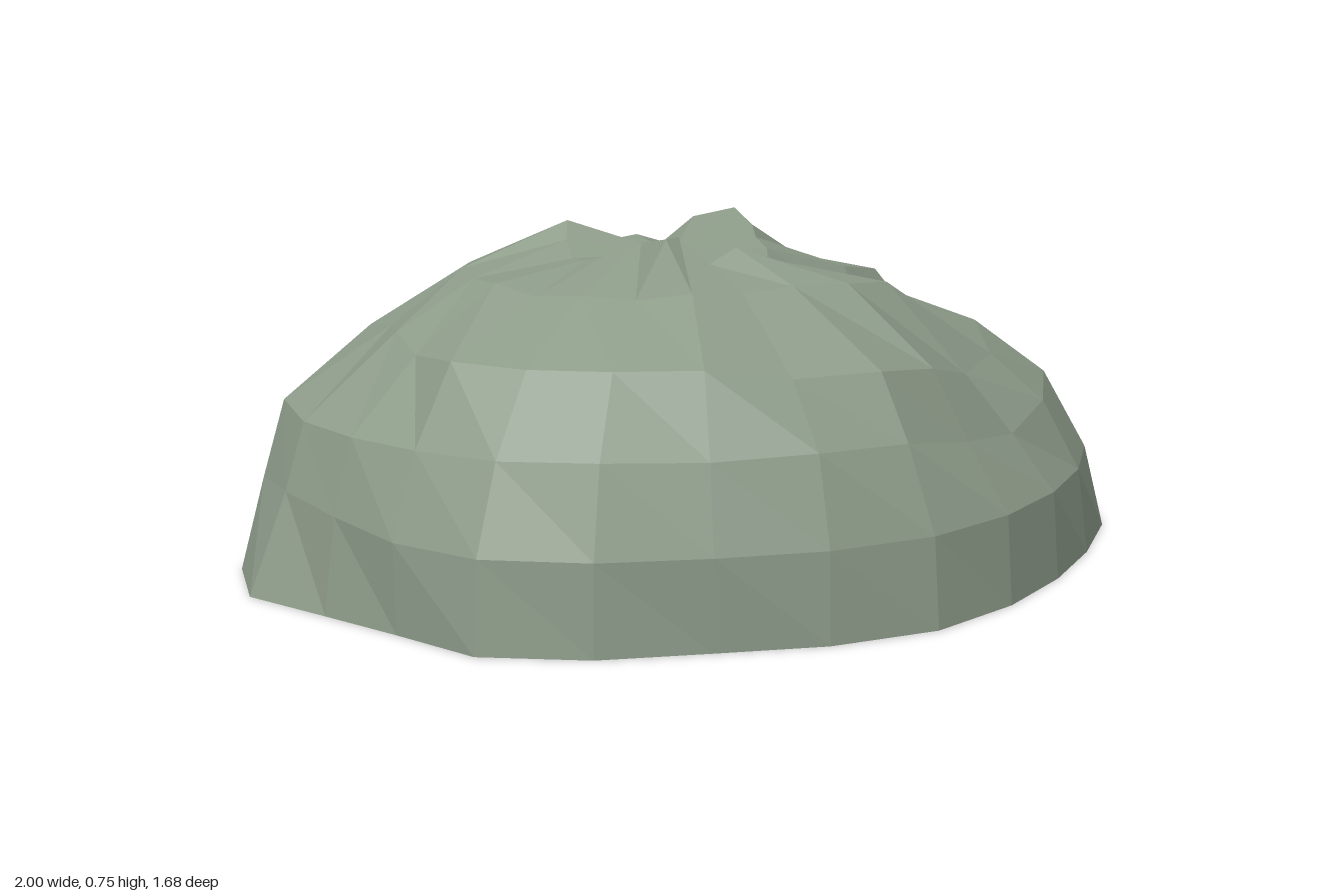
import * as THREE from 'three';

const SIDES = 24, RINGS = 6;
const SIZE = { x: 1, y: 0.75, z: 0.85 };
const CENTRE = { x: -0.02, z: 0.05 };

// Footprint radius in percent every 15 degrees, from the front (+z) towards +x
const FOOTPRINT = [
  93, 96, 95, 95, 98, 105, 97, 105.5, 105, 104, 103, 101,
  100, 108, 104, 99, 94, 98, 98, 90, 89, 95, 93, 90,
];

// Dents and bumps, each fading over two sides: side, ring, radius change, height change
const CHIPS = [
  [18, 1, -0.06, 0.15], [17.5, 3, -0.14, 0.03], [15, 3, 0.05, -0.1], // left shoulder
  [3, 2, -0.02, -0.15], [3.5, 3, 0.04, -0.2], [3, 4, 0.14, 0], // front right notch
  [1, 3, 0.06, -0.05], [0, 4, -0.05, 0], // front
  [5, 4, -0.14, -0.15], [7, 3, 0, -0.22], [6.5, 4, 0.12, -0.1], // right side hollows
  [8, 3, 0.16, 0.12], [9, 3, -0.03, 0.05], // back right shoulder
  [12.5, 2, 0.09, 0], [12, 3, 0.07, 0], [11, 4, 0, -0.1], // back
  [4, 5, -0.15, -0.07], [9, 5, 0.45, 0.05], [16, 5, 0, 0.07], [22, 5, -0.6, 0.06], // crown
];

// Small repeatable unevenness between -1 and 1
function unevenness(n) {
  const s = Math.sin(n * 127.1 + 3.7) * 43758.5453;
  return 2 * (s - Math.floor(s)) - 1;
}

function rockPoint(side, ring) {
  const i = side % SIDES;
  if (ring === RINGS) return [CENTRE.x, 0.68, CENTRE.z];
  const turn = (i / SIDES) * Math.PI * 2;
  const rise = (ring / RINGS) * Math.PI / 2;
  // The footprint fades into a regular dome higher up
  let r = THREE.MathUtils.lerp(FOOTPRINT[i] / 100, 1, Math.min(ring / 3, 1));
  let h = 1;
  // The dome narrows a little near the top, and its crown is crumpled
  if (ring > 1) {
    const rough = unevenness(i + ring * SIDES);
    r += 0.02 * rough - (ring > 3 ? 0.07 : 0);
    h += ring === 5 ? 0.03 * rough - 0.04 : 0.02 * rough;
  }
  for (const [at, level, dr, dh] of CHIPS) {
    const gap = Math.abs(i - at);
    const weight = Math.max(0, 1 - Math.min(gap, SIDES - gap) / 2);
    if (level === ring) {
      r += dr * weight;
      h += dh * weight;
    }
  }
  return [
    CENTRE.x + SIZE.x * r * Math.cos(rise) * Math.sin(turn),
    SIZE.y * h * Math.sin(rise),
    CENTRE.z + SIZE.z * r * Math.cos(rise) * Math.cos(turn),
  ];
}

function facetGeometry(points) {
  const geometry = new THREE.BufferGeometry();
  geometry.setAttribute('position', new THREE.Float32BufferAttribute(points.flat(), 3));
  geometry.computeVertexNormals();
  return geometry;
}

export function createModel() {
  const stone = new THREE.MeshStandardMaterial({ color: 0x8d9b89 });
  stone.name = 'mossy grey stone';

  const dome = [], base = [];
  for (let i = 0; i < SIDES; i++) {
    for (let k = 0; k < RINGS; k++) {
      const a = rockPoint(i, k), b = rockPoint(i + 1, k);
      const c = rockPoint(i + 1, k + 1), d = rockPoint(i, k + 1);
      dome.push(a, b, d);
      if (k < RINGS - 1) dome.push(b, c, d);
    }
    base.push([CENTRE.x, 0, CENTRE.z], rockPoint(i + 1, 0), rockPoint(i, 0));
  }

  const rock = new THREE.Group();
  rock.name = 'rock';
  for (const [name, points] of [['rockDome', dome], ['flatUnderside', base]]) {
    const mesh = new THREE.Mesh(facetGeometry(points), stone);
    mesh.name = name;
    rock.add(mesh);
  }
  return rock;
}
